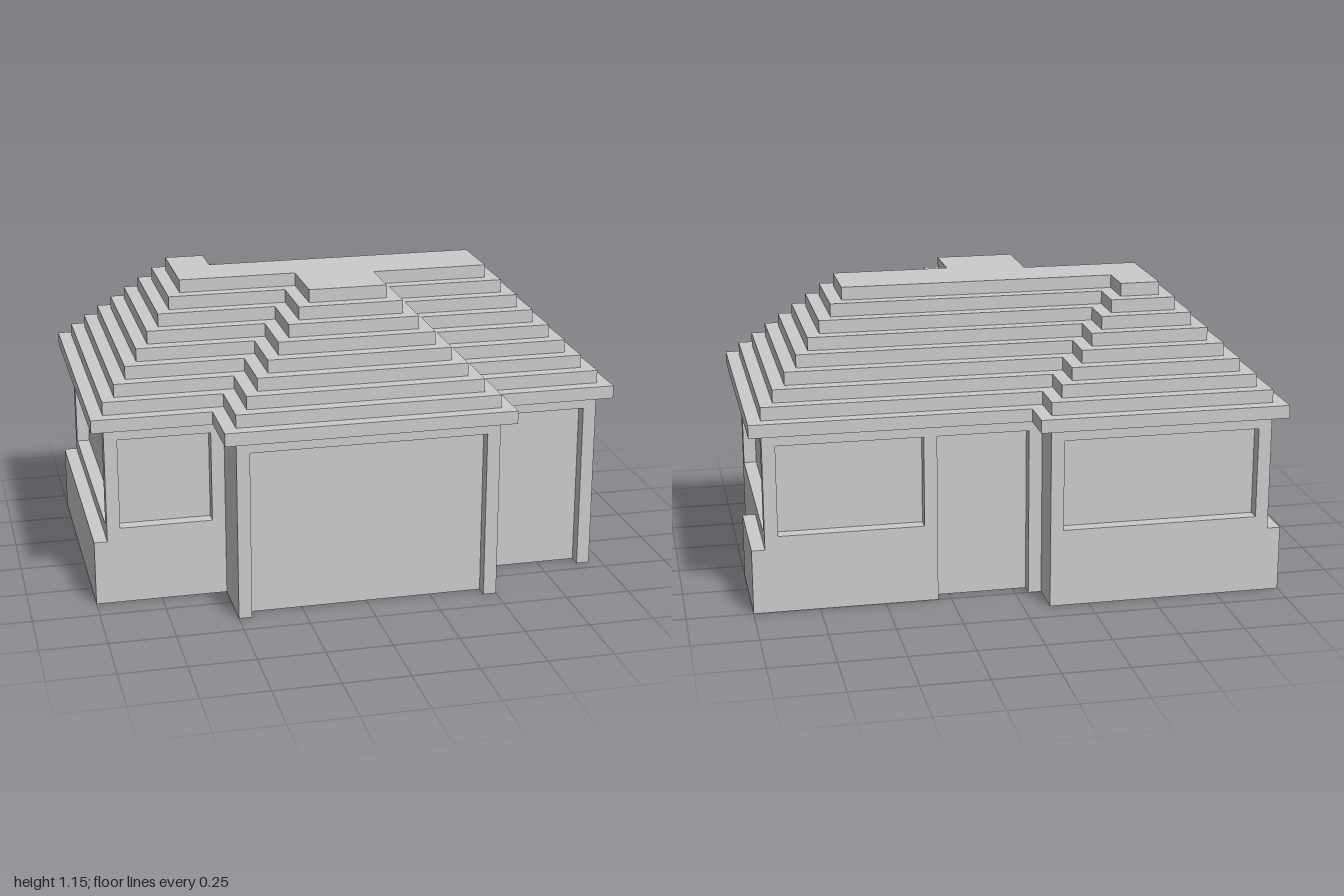
import * as THREE from 'three';

const material = new THREE.MeshStandardMaterial({ color: 0xcccccc, flatShading: true });

// Floor plan at the eaves, moved inward by d on every side: [x, z]
const plan = (d) => [
  [-1 + d, -0.7 + d], [-0.05 - d, -0.7 + d], [-0.05 - d, -0.55 + d],
  [1 - d, -0.55 + d], [1 - d, 0.5 - d], [0.55 - d, 0.5 - d],
  [0.55 - d, 0.7 - d], [-0.55 + d, 0.7 - d], [-0.55 + d, 0.45 - d], [-1 + d, 0.45 - d],
];

// Flat slab with the inset floor plan, from y0 up by height
function slab(name, inset, y0, height) {
  const shape = new THREE.Shape(plan(inset).map(([x, z]) => new THREE.Vector2(x, -z)));
  const geometry = new THREE.ExtrudeGeometry(shape, { depth: height, bevelEnabled: false });
  geometry.rotateX(-Math.PI / 2).translate(0, y0, 0);
  const mesh = new THREE.Mesh(geometry, material);
  mesh.name = name;
  return mesh;
}

// Group of boxes standing on the ground, each given as [x0, x1, z0, z1]
function boxes(name, height, list) {
  const group = new THREE.Group();
  group.name = name + 's';
  for (const [x0, x1, z0, z1] of list) {
    const mesh = new THREE.Mesh(new THREE.BoxGeometry(x1 - x0, height, z1 - z0), material);
    mesh.position.set((x0 + x1) / 2, height / 2, (z0 + z1) / 2);
    mesh.name = name;
    group.add(mesh);
  }
  return group;
}

export function createModel() {
  const house = new THREE.Group();
  house.name = 'house';

  // Recessed wall faces and the beam running around above the openings
  house.add(slab('recessedWalls', 0.1, 0, 0.65));
  house.add(slab('lintel', 0.05, 0.65, 0.05));

  // Posts at the corners and beside the openings
  house.add(boxes('post', 0.65, [
    [0.9, 0.95, 0.4, 0.45], [0.9, 0.95, -0.5, -0.45],
    [-0.95, -0.9, 0.35, 0.4], [-0.95, -0.9, -0.65, -0.6],
    [0.5, 0.55, 0.4, 0.45], [-0.55, -0.5, 0.35, 0.4],
    [-0.1, -0.05, -0.5, -0.45], [0.3, 0.35, -0.5, -0.45],
  ]));

  // Short solid walls where the plan steps in
  house.add(boxes('sideWall', 0.65, [
    [0.45, 0.5, 0.4, 0.65], [-0.5, -0.45, 0.35, 0.65], [-0.15, -0.1, -0.65, -0.45],
  ]));

  // Low walls under the windows
  house.add(boxes('windowSill', 0.3, [
    [0.9, 0.95, -0.45, 0.4], [-0.95, -0.9, -0.6, 0.35],
    [-0.9, -0.55, 0.35, 0.4], [-0.9, -0.15, -0.65, -0.6], [0.35, 0.9, -0.5, -0.45],
  ]));

  // Low boxes against the two outer sides
  house.add(boxes('planter', 0.25, [[0.95, 1, -0.5, -0.1], [-1, -0.95, -0.65, 0.4]]));

  // Stepped roof
  const roof = new THREE.Group();
  roof.name = 'roof';
  for (let i = 0; i < 9; i++) roof.add(slab('roofStep', i * 0.05, 0.7 + i * 0.05, 0.05));
  house.add(roof);

  return house;
}
